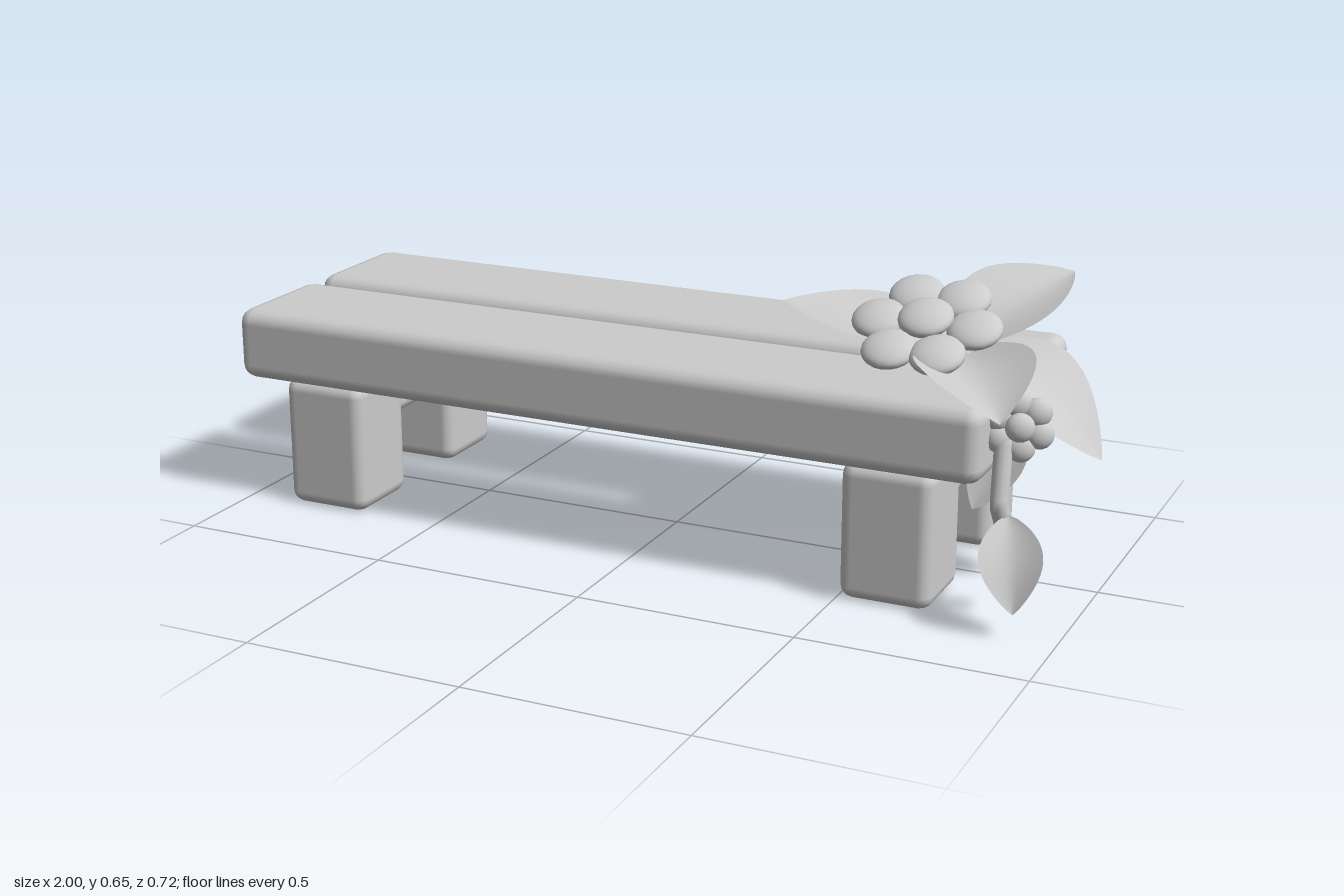
import * as THREE from 'three';
import { RoundedBoxGeometry } from 'three/addons/geometries/RoundedBoxGeometry.js';

const V = (x, y, z) => new THREE.Vector3(x, y, z);

// Cupped, pointed leaf running from base to tip, its upper face towards normal
function leafGeometry(base, tip, normal, halfWidth, cup, arch) {
  const rows = 16, cols = 8;
  const along = tip.clone().sub(base);
  const dir = along.clone().normalize();
  const side = new THREE.Vector3().crossVectors(normal, dir).normalize();
  const up = new THREE.Vector3().crossVectors(dir, side);
  const geo = new THREE.PlaneGeometry(1, 1, cols, rows);
  const pos = geo.attributes.position;
  for (let i = 0; i < pos.count; i++) {
    const v = pos.getX(i) * 2;
    const u = pos.getY(i) + 0.5;
    const w = halfWidth * Math.pow(Math.max(0, Math.sin(Math.PI * Math.pow(u, 0.88))), 0.85);
    const lift = cup * w * Math.pow(Math.abs(v), 1.5) + arch * Math.sin(Math.PI * u);
    const p = base.clone().addScaledVector(along, u).addScaledVector(side, v * w).addScaledVector(up, lift);
    pos.setXYZ(i, p.x, p.y, p.z);
  }
  geo.computeVertexNormals();
  return geo;
}

export function createModel() {
  const model = new THREE.Group();
  model.name = 'flowerBench';
  const grey = new THREE.MeshStandardMaterial({ color: 0xcccccc, side: THREE.DoubleSide });
  grey.name = 'light grey';

  const add = (name, geometry, parent = model) => {
    const mesh = new THREE.Mesh(geometry, grey);
    mesh.name = name;
    parent.add(mesh);
    return mesh;
  };
  const block = (name, size, at, radius) =>
    add(name, new RoundedBoxGeometry(...size, 2, radius)).position.set(...at);

  // Seat planks
  block('frontPlank', [1.815, 0.167, 0.306], [-0.0925, 0.384, 0.142], 0.035);
  block('backPlank', [1.815, 0.167, 0.308], [-0.0925, 0.384, -0.205], 0.035);

  // Legs, joined in pairs by a crossbar
  for (const [label, x] of [['right', -0.787], ['left', 0.607]]) {
    block(label + 'FrontLeg', [0.208, 0.308, 0.2], [x, 0.154, 0.172], 0.03);
    block(label + 'BackLeg', [0.208, 0.308, 0.2], [x, 0.154, -0.234], 0.03);
    block(label + 'Crossbar', [0.172, 0.122, 0.36], [x - 0.003, 0.247, -0.03], 0.025);
  }

  // Ring of six flattened petals around a raised middle one
  const blossom = (name, at, normal, ring, radius, thickness, lift) => {
    const flower = new THREE.Group();
    flower.name = name;
    flower.position.copy(at);
    flower.quaternion.setFromUnitVectors(V(0, 1, 0), normal.normalize());
    const petal = new THREE.SphereGeometry(1, 20, 14);
    for (let i = 0; i < 7; i++) {
      const a = i * Math.PI / 3;
      const mesh = add(i < 6 ? 'petal' : 'flowerCentre', petal, flower);
      mesh.scale.set(radius, thickness, radius);
      if (i < 6) mesh.position.set(Math.cos(a) * ring, 0, Math.sin(a) * ring);
      else mesh.position.y = lift;
    }
    model.add(flower);
  };
  blossom('largeFlower', V(0.625, 0.578, 0.092), V(0, 0.9, 0.42), 0.106, 0.06, 0.026, 0.018);
  blossom('smallFlower', V(0.865, 0.418, 0.195), V(0.4, 0.1, 0.9), 0.047, 0.031, 0.022, 0.022);

  // Leaves: base, tip, normal, half width, cup, arch
  const leaves = [
    ['frontLeaf', V(0.66, 0.505, 0.01), V(0.875, 0.47, 0.36), V(0, 1, 0.1), 0.125, 0.35, 0.015],
    ['backLeaf', V(0.66, 0.505, 0.01), V(0.845, 0.637, -0.25), V(0, 0.9, 0.42), 0.115, 0.3, 0.015],
    ['rightLeaf', V(0.67, 0.505, 0.03), V(0.28, 0.58, 0.05), V(0.2, 1, 0.1), 0.13, 0.2, 0.005],
    ['leftLeaf', V(0.66, 0.505, 0.02), V(1.0, 0.31, 0.03), V(0.5, 0.8, 0.33), 0.125, 0.15, 0.06],
    ['hangingLeaf', V(0.865, 0.24, 0.243), V(0.908, 0.055, 0.325), V(0.3, 0.3, 0.9), 0.066, 0.35, 0.015],
    ['innerLeaf', V(0.83, 0.4, 0.06), V(0.753, 0.195, 0.132), V(0.1, 0.3, 0.95), 0.06, 0.25, 0],
  ];
  for (const [name, ...shape] of leaves) add(name, leafGeometry(...shape));

  // Drooping stem with a kink near its lower end
  const stem = new THREE.CurvePath();
  const points = [V(0.67, 0.505, 0.01), V(0.83, 0.45, 0.16), V(0.84, 0.39, 0.212),
    V(0.845, 0.255, 0.243), V(0.868, 0.13, 0.204)];
  for (let i = 1; i < points.length; i++) stem.add(new THREE.LineCurve3(points[i - 1], points[i]));
  add('stem', new THREE.TubeGeometry(stem, 40, 0.02, 12));
  const end = add('stemEnd', new THREE.CircleGeometry(0.02, 12));
  end.position.copy(points[4]);
  end.quaternion.setFromUnitVectors(V(0, 0, 1), points[4].clone().sub(points[3]).normalize());

  return model;
}
